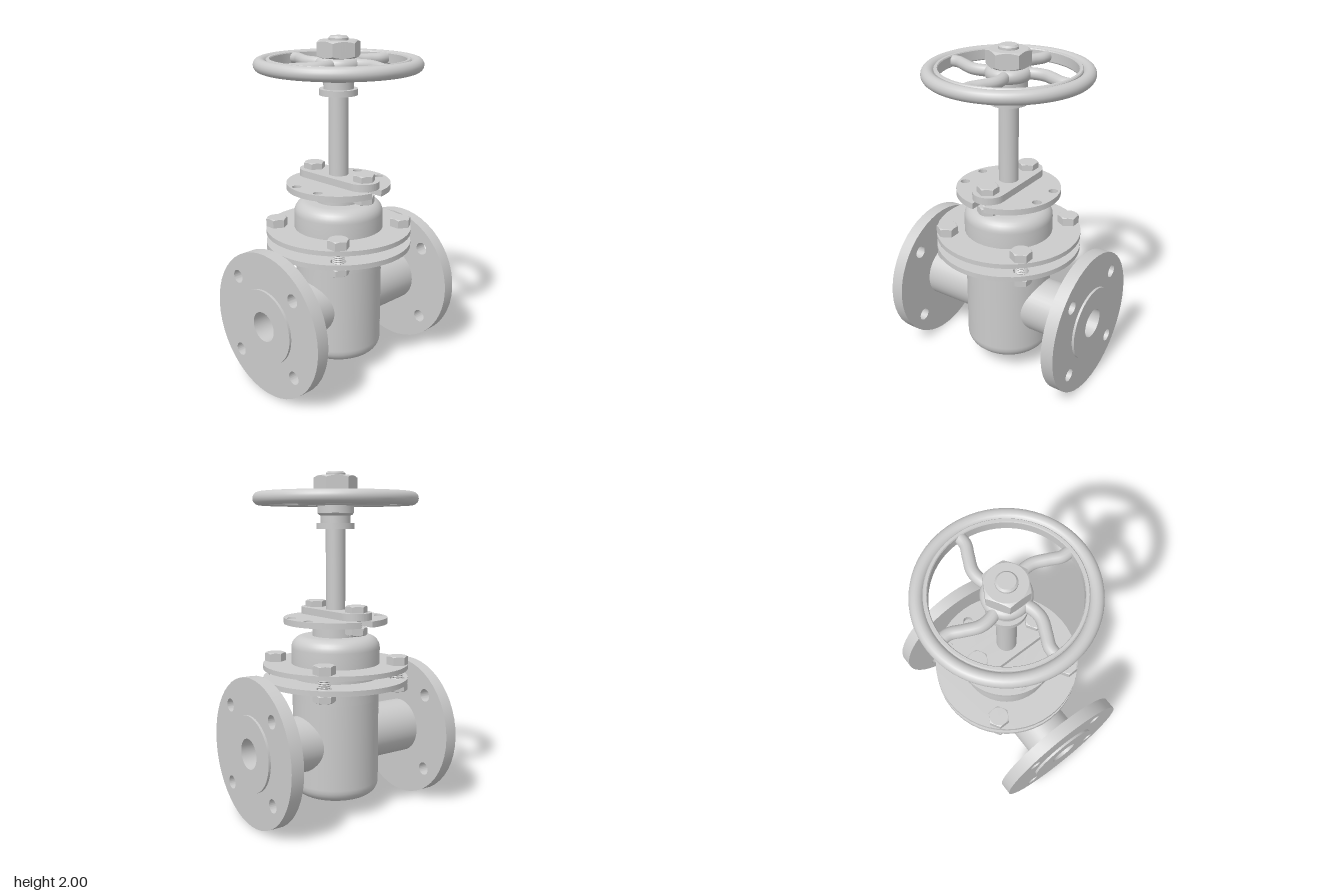
import * as THREE from 'three';
import { toCreasedNormals } from 'three/addons/utils/BufferGeometryUtils.js';

const mat = new THREE.MeshStandardMaterial({ color: 0xcccccc });
const thinMat = new THREE.MeshStandardMaterial({ color: 0xcccccc, side: THREE.DoubleSide });

const AXIS_Y = 0.432;   // height of the pipe axis
const BODY_R = 0.257, PIPE_R = 0.165, BORE_R = 0.088, FLANGE_R = 0.432;

function add(parent, name, geometry, material = mat) {
  const mesh = new THREE.Mesh(geometry, material);
  mesh.name = name;
  parent.add(mesh);
  return mesh;
}

function lathe(profile, segments) {
  return new THREE.LatheGeometry(profile.map(([r, y]) => new THREE.Vector2(r, y)), segments);
}

// Turned part from [radius, y] pairs, listed bottom to top
function turned(profile, segments = 48) {
  return toCreasedNormals(lathe(profile, segments), 0.5);
}

// Profile points along an elliptical arc
function fillet(cx, cy, rx, ry, from, to, n = 7) {
  return Array.from({ length: n + 1 }, (_, i) => {
    const a = from + (to - from) * i / n;
    return [cx + rx * Math.cos(a), cy + ry * Math.sin(a)];
  });
}

// Hexagon from y to y + h with cone-cut corners, two corners on the x axis
function hexagon(r, y, h, chamferBottom = false) {
  const apothem = r * Math.cos(Math.PI / 6), rc = apothem * 0.97;
  const geo = lathe([[0, 0], [rc, 0], [r, 0], [r, h], [rc, h], [0, h]], 48);
  const p = geo.attributes.position, step = Math.PI / 3;
  for (let i = 0; i < p.count; i++) {
    if (Math.hypot(p.getX(i), p.getZ(i)) < r * 0.99) continue;
    const a = Math.atan2(p.getX(i), p.getZ(i));
    const R = apothem / Math.cos(a - step * Math.round(a / step));
    const cut = (R - rc) * 0.6, top = p.getY(i) > h / 2;
    p.setXYZ(i, R * Math.sin(a), top ? h - cut : chamferBottom ? cut : 0, R * Math.cos(a));
  }
  return toCreasedNormals(geo, 0.5).translate(0, y, 0);
}

function circle(r) {
  return new THREE.Shape().absarc(0, 0, r, 0, Math.PI * 2);
}

// Plate with round holes given as [x, y, radius], extruded along +z
function plate(shape, depth, holes) {
  for (const [x, y, r] of holes) {
    shape.holes.push(new THREE.Path().absarc(x, y, r, 0, Math.PI * 2, true));
  }
  const geo = new THREE.ExtrudeGeometry(shape, { depth, bevelEnabled: false, curveSegments: 24 });
  return toCreasedNormals(geo, 0.3);
}

// The same plate lying flat with its underside at y
function flatPlate(shape, y, depth, holes) {
  return plate(shape, depth, holes).rotateX(-Math.PI / 2).translate(0, y, 0);
}

const corners = (dx, dy = dx) => [[dx, dy], [-dx, dy], [dx, -dy], [-dx, -dy]];

// Half of the body wall, with a saddle-shaped opening where the pipe enters
function bodyWall(halfHeight, holeR) {
  const n = 96, rings = 8, pos = [], normal = [], index = [];
  const spread = v => Math.atan(v) * 4 / Math.PI;   // even spacing along each outer edge
  for (let i = 0; i <= n; i++) {
    const t = i / n * Math.PI * 2, c = Math.cos(t), s = Math.sin(t);
    const m = Math.max(Math.abs(c), Math.abs(s));
    for (let j = 0; j <= rings; j++) {
      const k = j / rings;
      const a = THREE.MathUtils.lerp(Math.asin(holeR * c / BODY_R), spread(c / m) * Math.PI / 2, k);
      const y = THREE.MathUtils.lerp(holeR * s, spread(s / m) * halfHeight, k);
      pos.push(BODY_R * Math.sin(a), AXIS_Y + y, BODY_R * Math.cos(a));
      normal.push(Math.sin(a), 0, Math.cos(a));
      if (i < n && j < rings) {
        const p = i * (rings + 1) + j, q = p + rings + 1;
        index.push(p, p + 1, q + 1, p, q + 1, q);
      }
    }
  }
  const geo = new THREE.BufferGeometry();
  geo.setAttribute('position', new THREE.Float32BufferAttribute(pos, 3));
  geo.setAttribute('normal', new THREE.Float32BufferAttribute(normal, 3));
  geo.setIndex(index);
  return geo;
}

// Hex bolt with threaded shank and nut
function bolt(name, x, z, nutY, nutH, headY, headH) {
  const g = new THREE.Group();
  g.name = name;
  g.position.set(x, 0, z);
  add(g, 'boltHead', hexagon(0.064, headY, headH));
  add(g, 'boltNut', hexagon(0.064, nutY, nutH, true));
  const thread = [[0, nutY - 0.006], [0.03, nutY - 0.006]];
  for (let y = nutY, i = 0; y < headY; y += 0.006, i++) thread.push([i % 2 ? 0.03 : 0.036, y]);
  add(g, 'boltShank', turned([...thread, [0.03, headY]], 20));
  return g;
}

export function createModel() {
  const model = new THREE.Group();
  model.name = 'gateValve';

  // Body: rounded bottom, two walls with pipe openings, neck up to the bonnet
  const wallHalf = 0.25;
  add(model, 'bodyBottom', turned([[0, 0.1], [0.18, 0.1],
    ...fillet(0.182, 0.176, 0.075, 0.075, -Math.PI / 2, 0), [BODY_R, AXIS_Y - wallHalf]]), thinMat);
  add(model, 'bodyNeck', turned([[BODY_R, AXIS_Y + wallHalf], [BODY_R, 0.866]]), thinMat);

  // Pipe ends with bolted flanges, front and back
  for (const side of [0, 1]) {
    const end = new THREE.Group();
    end.name = side ? 'backPipeEnd' : 'frontPipeEnd';
    end.rotation.y = side * Math.PI;
    add(end, 'bodyWall', bodyWall(wallHalf, PIPE_R - 0.002), thinMat);
    const pipe = new THREE.CylinderGeometry(PIPE_R, PIPE_R, 0.322, 40, 1, true);
    add(end, 'pipe', pipe.rotateX(Math.PI / 2).translate(0, AXIS_Y, 0.346), thinMat);
    const holes = corners(0.234).map(([x, y]) => [x, y, 0.039]);
    add(end, 'pipeFlange', plate(circle(FLANGE_R), 0.076, [[0, 0, BORE_R], ...holes])
      .translate(0, AXIS_Y, 0.505));
    add(end, 'raisedFace', plate(circle(0.22), 0.014, [[0, 0, BORE_R]]).translate(0, AXIS_Y, 0.581));
    model.add(end);
  }
  const bore = new THREE.CylinderGeometry(BORE_R, BORE_R, 1.188, 40, 1, true);
  add(model, 'bore', bore.rotateX(Math.PI / 2).translate(0, AXIS_Y, 0), thinMat);

  // Bonnet flanges with four bolts
  const boltHoles = corners(0.26).map(([x, y]) => [x, y, 0.044]);
  add(model, 'lowerBonnetFlange', flatPlate(circle(0.43), 0.78, 0.03, [...boltHoles, [0, 0, 0.25]]));
  add(model, 'upperBonnetFlange', flatPlate(circle(0.43), 0.864, 0.028, boltHoles));
  for (const [x, z] of corners(0.26)) model.add(bolt('bonnetBolt', x, z, 0.735, 0.043, 0.892, 0.051));

  // Domed bonnet and packing neck
  add(model, 'bonnet', turned([[0.262, 0.89], [0.262, 0.985],
    ...fillet(0.192, 0.985, 0.07, 0.071, 0, Math.PI / 2), [0.137, 1.056], [0.137, 1.135]]));

  // Slotted round gland flange
  const slotW = 0.038, slotX = 0.205, R = 0.305, a = Math.asin(slotW / R);
  const disc = new THREE.Shape();
  disc.absarc(0, 0, R, a, Math.PI - a, false);
  disc.absarc(-slotX, 0, slotW, Math.PI / 2, -Math.PI / 2, true);
  disc.absarc(0, 0, R, Math.PI + a, Math.PI * 2 - a, false);
  disc.absarc(slotX, 0, slotW, Math.PI * 1.5, Math.PI / 2, true);
  const glandHoles = corners(0.088, 0.25).map(([x, y]) => [x, y, 0.027]);
  add(model, 'glandFlange', flatPlate(disc, 1.13, 0.035, glandHoles));

  // Oblong gland plate and its two bolts
  const oblong = new THREE.Shape();
  oblong.absarc(0.195, 0, 0.095, -Math.PI / 2, Math.PI / 2, false);
  oblong.absarc(-0.195, 0, 0.095, Math.PI / 2, Math.PI * 1.5, false);
  add(model, 'glandPlate', flatPlate(oblong, 1.168, 0.042, []));
  for (const x of [-slotX, slotX]) model.add(bolt('glandBolt', x, 0, 1.08, 0.046, 1.21, 0.038));

  // Stem, collar and wheel hub
  add(model, 'stem', turned([[0.057, 1.16], [0.057, 1.68]], 32));
  add(model, 'stemCollar', turned([[0.05, 1.675], [0.11, 1.675], [0.11, 1.71], [0.086, 1.71],
    [0.086, 1.752], [0.098, 1.757], [0.105, 1.766], [0.105, 1.812], [0, 1.812]], 40));
  add(model, 'wheelHub', turned([[0, 1.807],
    ...fillet(0.1, 1.845, 0.032, 0.038, -Math.PI / 2, Math.PI / 2, 10), [0, 1.883]], 40));

  // Handwheel rim with a narrow inner rib, and four S-shaped spokes
  const wheel = new THREE.Group();
  wheel.name = 'handwheel';
  wheel.position.y = 1.847;
  add(wheel, 'wheelRim', new THREE.TorusGeometry(0.438, 0.038, 18, 72).rotateX(Math.PI / 2));
  add(wheel, 'rimRib', turned([[0.386, -0.034], [0.4, -0.034], [0.405, -0.028], [0.405, 0.028],
    [0.4, 0.034], [0.386, 0.034], [0.382, 0.028], [0.382, -0.028], [0.386, -0.034]], 72));
  const path = new THREE.CatmullRomCurve3([[0.07, -0.02], [0.13, -0.05], [0.2, -0.055],
    [0.28, -0.022], [0.34, 0.006], [0.39, 0.008]].map(([x, z]) => new THREE.Vector3(x, 0, z)));
  for (let i = 0; i < 4; i++) {
    add(wheel, 'spoke', new THREE.TubeGeometry(path, 28, 0.033, 14)).rotation.y = i * Math.PI / 2;
  }
  model.add(wheel);

  // Wheel nut and threaded stem tip
  add(model, 'wheelNut', hexagon(0.126, 1.883, 0.094, true));
  add(model, 'stemTip', turned([[0.056, 1.97], [0.056, 1.99], [0.046, 2.0], [0, 2.0]], 32));

  return model;
}
